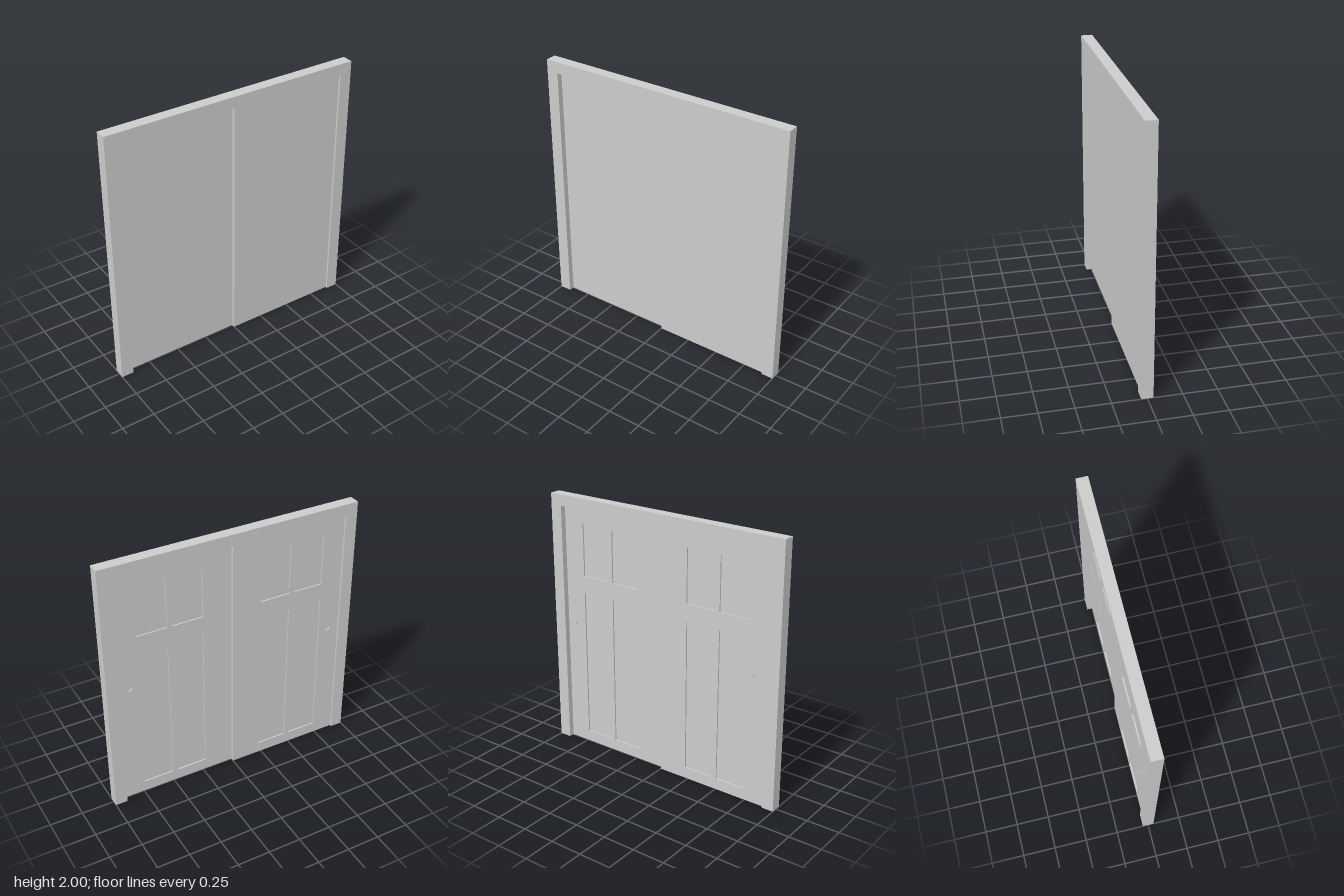
import * as THREE from 'three';

const material = new THREE.MeshStandardMaterial({ color: 0xcccccc, flatShading: true });

const OPEN_X = 0.907, OPEN_Y = 1.914; // opening half width and height
const FRAME_D = 0.086;                // frame depth
const DOOR_D = 0.027, RECESS = 0.011; // leaf thickness, panel recess depth

function extrude(name, shape, depth, z) {
  const geometry = new THREE.ExtrudeGeometry(shape, { depth, bevelEnabled: false, curveSegments: 12 });
  const mesh = new THREE.Mesh(geometry, material);
  mesh.name = name;
  mesh.position.z = z;
  return mesh;
}

function rect(Type, x0, x1, y0, y1) {
  const s = new Type();
  s.moveTo(x0, y0);
  s.lineTo(x1, y0);
  s.lineTo(x1, y1);
  s.lineTo(x0, y1);
  s.closePath();
  return s;
}

// One sliding leaf: plain front slab, back layer cut by panels and a finger pull
function makeDoor(name, side, zBack) {
  const door = new THREE.Group();
  door.name = name;
  const span = (a, b) => (side > 0 ? [a, b] : [-b, -a]);

  const face = rect(THREE.Shape, ...span(0, OPEN_X), 0, OPEN_Y);
  door.add(extrude('doorSlab', face, DOOR_D - RECESS, zBack + RECESS));

  const layer = rect(THREE.Shape, ...span(0, OPEN_X), 0, OPEN_Y);
  for (const [x0, x1] of [[0.225, 0.465], [0.502, 0.738]]) {
    for (const [y0, y1] of [[0.087, 1.255], [1.39, 1.795]]) {
      layer.holes.push(rect(THREE.Path, ...span(x0, x1), y0, y1));
    }
  }
  const pull = new THREE.Path();
  pull.absarc(side * 0.812, 0.983, 0.024, 0, Math.PI * 2, true);
  layer.holes.push(pull);
  door.add(extrude('recessedPanelLayer', layer, RECESS, zBack));
  return door;
}

export function createModel() {
  const model = new THREE.Group();
  model.name = 'slidingDoors';

  // Frame: two jambs and a head in one outline
  const outline = new THREE.Shape([
    [-1, 0], [-OPEN_X, 0], [-OPEN_X, OPEN_Y], [OPEN_X, OPEN_Y],
    [OPEN_X, 0], [1, 0], [1, 2], [-1, 2],
  ].map(([x, y]) => new THREE.Vector2(x, y)));
  model.add(extrude('doorFrame', outline, FRAME_D, -FRAME_D / 2));

  // Leaves run on neighbouring tracks, one in front of the other
  model.add(makeDoor('leftDoor', 1, 0));
  model.add(makeDoor('rightDoor', -1, -DOOR_D));
  return model;
}
